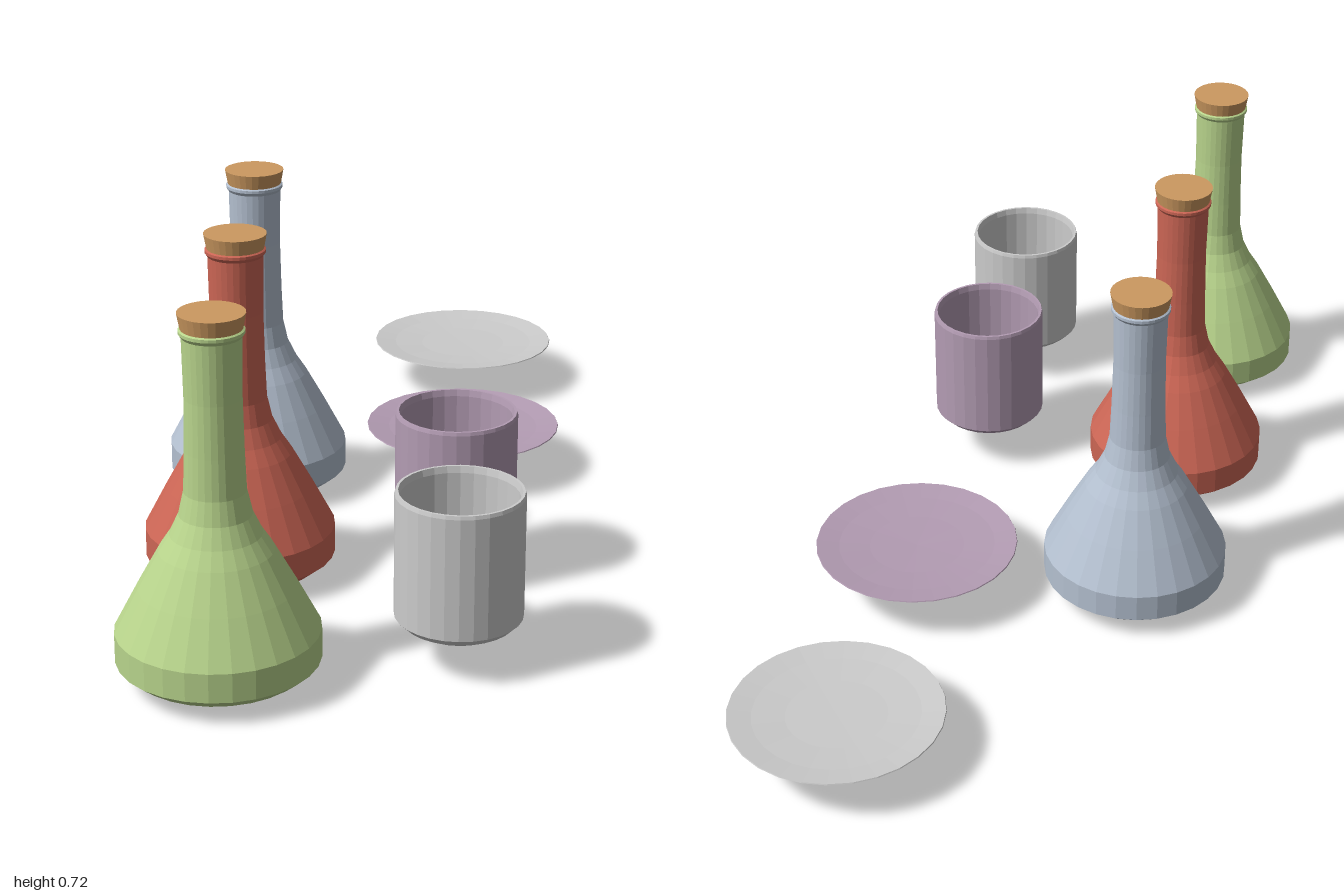
import * as THREE from 'three';

const SIDES = 28;

function material(color) {
  return new THREE.MeshStandardMaterial({ color, flatShading: true, side: THREE.DoubleSide });
}

// Turn a list of [radius, height] pairs into a lathed mesh
function turned(name, profile, color) {
  const points = profile.map(([r, y]) => new THREE.Vector2(r, y));
  const mesh = new THREE.Mesh(new THREE.LatheGeometry(points, SIDES), material(color));
  mesh.name = name;
  return mesh;
}

// Round-bottomed flask with a lipped neck and a tapered cork
function makeBottle(name, color, z) {
  const bottle = new THREE.Group();
  bottle.name = name;
  bottle.add(turned('bottleBody', [
    [0, 0.002], [0.06, 0.004], [0.118, 0.012], [0.167, 0.03], [0.192, 0.05], [0.192, 0.107],
    [0.147, 0.193], [0.107, 0.265], [0.086, 0.297], [0.068, 0.335], [0.058, 0.38],
    [0.055, 0.46], [0.053, 0.56], [0.055, 0.675], [0.06, 0.682], [0.06, 0.688], [0.054, 0.692],
  ], color));
  bottle.add(turned('cork', [[0, 0.688], [0.056, 0.688], [0.062, 0.72], [0, 0.72]], 0xcc9960));
  bottle.position.set(-0.239, 0, z);
  return bottle;
}

// Open cup with a bevelled foot and a thin wall
function makeCup(name, color, x, y, z) {
  const cup = turned(name, [
    [0, 0], [0.086, 0], [0.108, 0.012], [0.122, 0.026], [0.122, 0.268], [0.12, 0.275],
    [0.115, 0.275], [0.112, 0.262], [0.11, 0.034], [0.092, 0.016], [0, 0.016],
  ], color);
  cup.position.set(x, y, z);
  return cup;
}

// Thin, shallow dished plate
function makePlate(name, color, y, z) {
  const plate = turned(name, [
    [0, 0], [0.11, 0.002], [0.17, 0.007], [0.213, 0.015], [0.212, 0.017],
    [0.165, 0.011], [0.1, 0.007], [0, 0.005],
  ], color);
  plate.position.set(0.211, y, z);
  return plate;
}

export function createModel() {
  const model = new THREE.Group();
  model.name = 'tableware';
  const grey = 0xcccccc, mauve = 0xb39cb3;
  model.add(
    makeBottle('greenBottle', 0xb8d48c, 0.806),
    makeBottle('redBottle', 0xcc6655, 0.337),
    makeBottle('blueBottle', 0xb4c0d0, -0.12),
    makeCup('greyCup', grey, 0.204, 0.076, 0.722),
    makeCup('mauveCup', mauve, 0.196, 0.082, 0.337),
    makePlate('greyPlate', grey, 0.09, -0.787),
    makePlate('mauvePlate', mauve, 0.092, -0.222),
  );
  return model;
}
